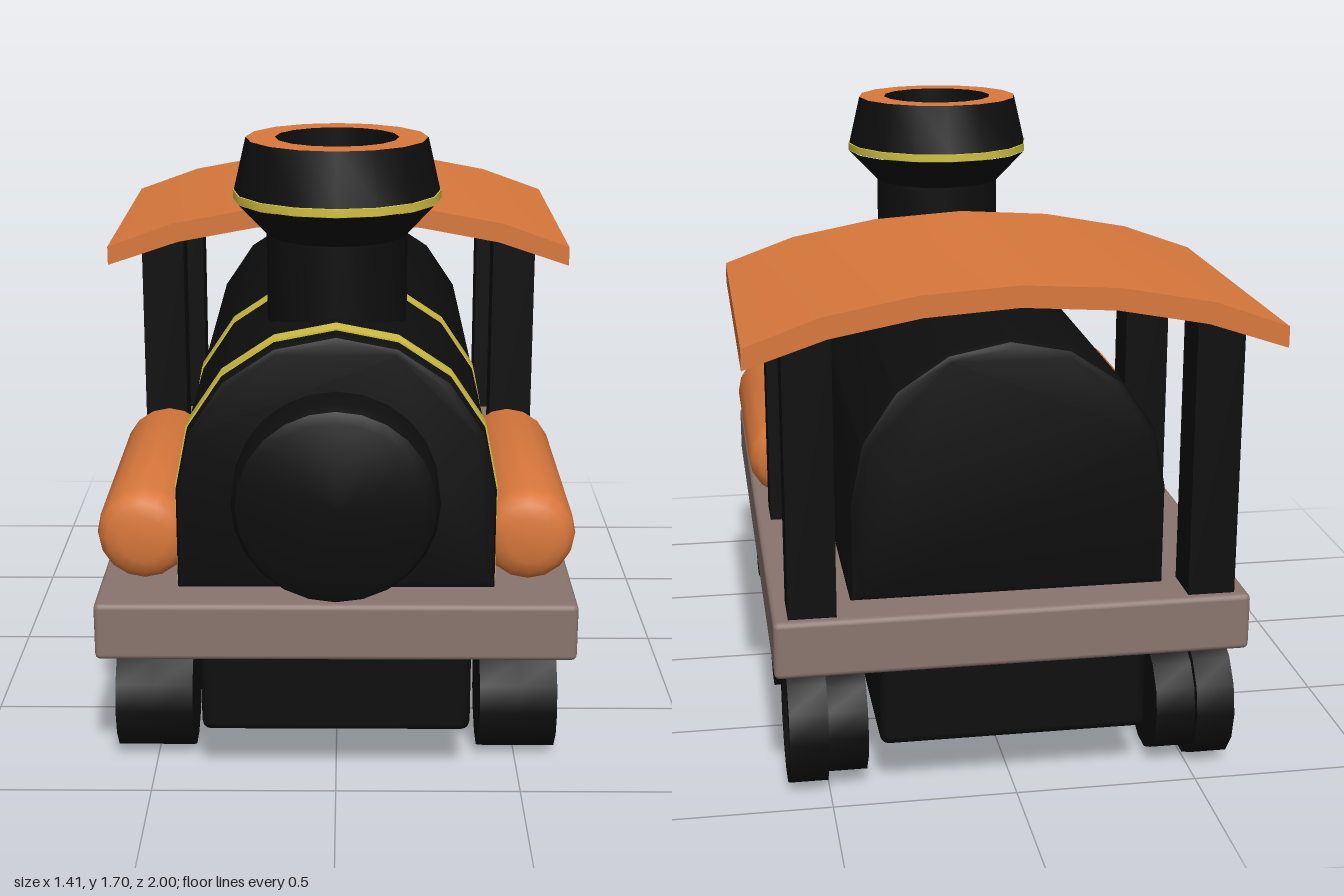
import * as THREE from 'three';
import { toCreasedNormals } from 'three/addons/utils/BufferGeometryUtils.js';
import { RoundedBoxGeometry } from 'three/addons/geometries/RoundedBoxGeometry.js';

const flat = (name, color) => Object.assign(new THREE.MeshStandardMaterial({ color }), { name });
const vecs = (list) => list.map(([x, y]) => new THREE.Vector2(x, y));

export function createModel() {
  const model = new THREE.Group();
  model.name = 'steamEngine';
  const black = flat('blackIron', 0x0e0e0e);
  const orange = flat('orangePaint', 0xd9783c);
  const gold = flat('goldTrim', 0xd2c042);
  const brown = flat('brownFrame', 0x8a756e);

  const add = (name, geometry, material, x = 0, y = 0, z = 0) => {
    const mesh = new THREE.Mesh(geometry, material);
    mesh.name = name;
    mesh.position.set(x, y, z);
    model.add(mesh);
    return mesh;
  };
  const lathe = (points, sides = 16, crease = 0.6) =>
    toCreasedNormals(new THREE.LatheGeometry(vecs(points), sides), crease);

  // Chassis
  add('baseFrame', new RoundedBoxGeometry(1.29, 0.16, 1.94, 2, 0.015), brown, 0, 0.452, -0.005);
  add('underframe', new RoundedBoxGeometry(0.73, 0.25, 1.89, 2, 0.025), black, 0, 0.273, -0.01);

  // Boiler and its bands share one arched section
  const archShape = (r) => {
    const pts = [[-r, 0.53]];
    for (let i = 8; i >= 0; i--) {
      const a = (i / 8) * Math.PI;
      pts.push([r * Math.cos(a), 0.81 + r * Math.sin(a)]);
    }
    pts.push([r, 0.53]);
    return new THREE.Shape(vecs(pts.reverse()));
  };
  const boiler = new THREE.ExtrudeGeometry(archShape(0.43), {
    depth: 1.67, bevelThickness: 0.02, bevelSize: 0.02, bevelOffset: -0.02, bevelSegments: 2,
  });
  add('boiler', toCreasedNormals(boiler, 0.5), black, 0, 0, -0.84);
  for (const z of [0.727, 0.167]) {
    const band = new THREE.ExtrudeGeometry(archShape(0.435), { depth: 0.063, bevelEnabled: false });
    add('boilerBand', toCreasedNormals(band, 0.5), gold, 0, 0, z);
  }

  // Round front door with a softened rim
  const door = lathe([[0.275, 0], [0.275, 0.11], [0.262, 0.137], [0.235, 0.15], [0, 0.15]], 24);
  add('boilerDoor', door, black, 0, 0.815, 0.85).rotation.x = Math.PI / 2;

  // Chimney, built as stacked rings
  const chimneyParts = [
    ['chimneyStem', black, [[0.195, 1.12], [0.195, 1.435], [0.285, 1.53]]],
    ['chimneyBand', gold, [[0.28, 1.53], [0.287, 1.532], [0.287, 1.554], [0.28, 1.556]]],
    ['chimneyCap', black, [[0.284, 1.555], [0.25, 1.7]]],
    ['chimneyRim', orange, [[0.25, 1.7], [0.17, 1.7]]],
    ['chimneyHole', black, [[0.17, 1.7], [0.17, 1.45], [0, 1.45]]],
  ];
  for (const [name, material, points] of chimneyParts) {
    add(name, lathe(points), material, 0, 0, 0.465);
  }

  // Curved cab roof
  const top = [[0.705, 1.285], [0.505, 1.357], [0.26, 1.403], [0, 1.42]];
  const bottom = [[0, 1.362], [0.25, 1.345], [0.49, 1.3], [0.705, 1.228]];
  const mirror = (list) => list.map(([x, y]) => [-x, y]).reverse();
  const roofShape = new THREE.Shape(vecs([
    ...top, ...mirror(top).slice(1), ...mirror(bottom), ...bottom.slice(1),
  ]));
  const roof = new THREE.ExtrudeGeometry(roofShape, { depth: 0.97, bevelEnabled: false });
  add('cabRoof', toCreasedNormals(roof, 0.5), orange, 0, 0, -1);

  // Side tanks, cab posts and wheels, mirrored left and right
  const L = 0.845;
  const tankEnd = [[0, 0], [0.065, 0], [0.1, 0.012], [0.122, 0.034], [0.13, 0.065]];
  const tank = lathe([...tankEnd, ...tankEnd.map(([r, y]) => [r, L - y]).reverse()], 16, 0.7);
  const post = new THREE.BoxGeometry(0.128, 0.77, 0.13);
  const wheel = (r, inner) => lathe([
    [0, 0.397], [inner, 0.397], [inner, 0.505], [r, 0.505], [r, 0.61],
    [r - 0.03, 0.61], [r - 0.04, 0.597], [0, 0.597],
  ], 14);
  const axles = [[0.69, 0.165, 0.165], [-0.19, 0.183, 0.16], [-0.8, 0.183, 0.16]];
  for (const side of [1, -1]) {
    add('sideTank', tank, orange, side * 0.525, 0.657, -0.035).rotation.x = Math.PI / 2;
    for (const z of [-0.135, -0.885]) add('cabPost', post, black, side * 0.54, 0.905, z);
    for (const [z, r, inner] of axles) {
      add('wheel', wheel(r, inner), black, 0, r, z).rotation.z = -side * Math.PI / 2;
    }
  }
  return model;
}
